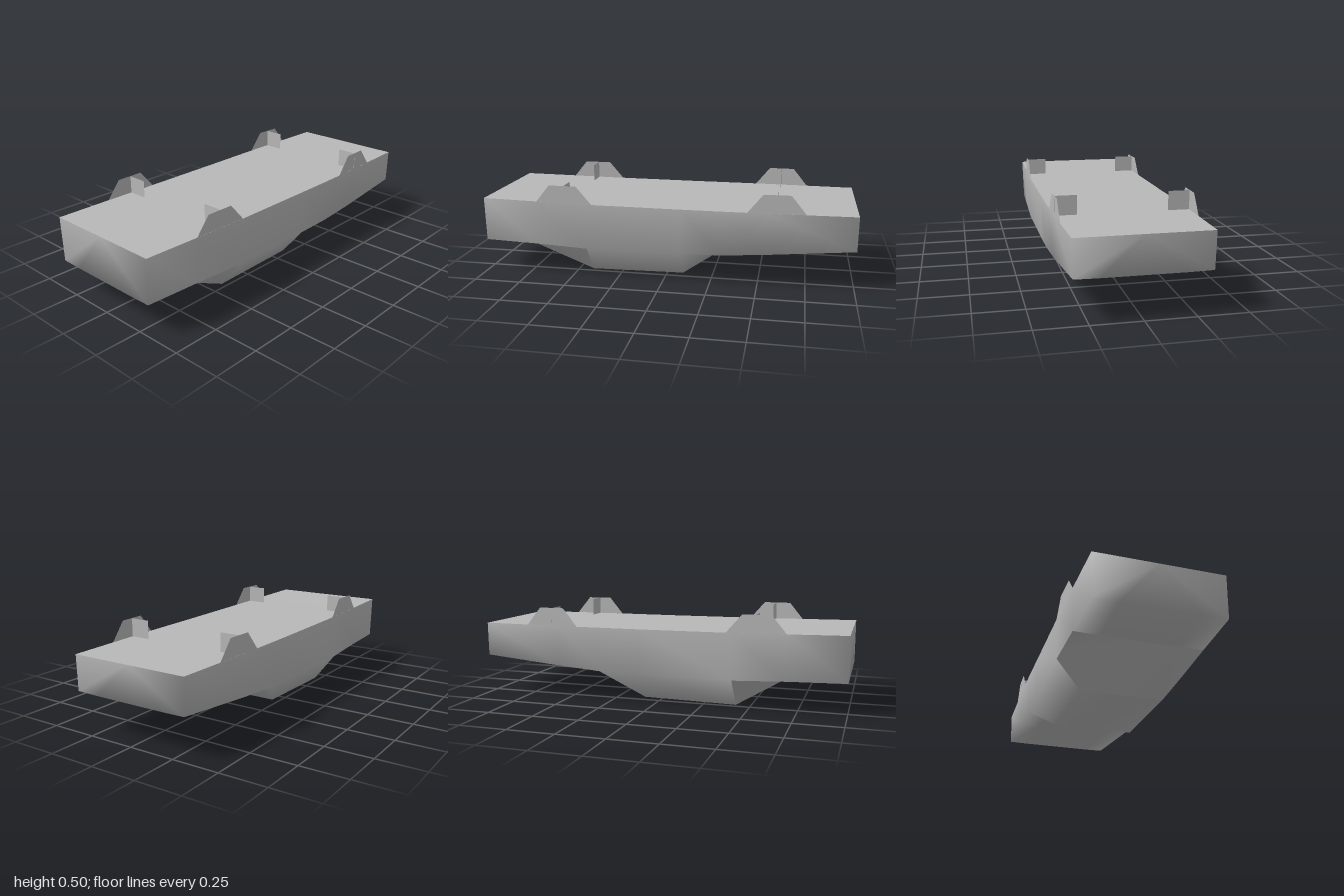
import * as THREE from 'three';

// Hull stations: z, deck half width, deck y, chine half width, chine y, floor half width, floor y
const STATIONS = [
  [1.0, 0.33, 0.41, 0.323, 0.172, 0.2, 0.17],
  [0.7, 0.336, 0.406, 0.333, 0.166, 0.2, 0.165],
  [0.42, 0.341, 0.402, 0.342, 0.156, 0.22, 0.0],
  [-0.09, 0.341, 0.4, 0.342, 0.158, 0.22, 0.008],
  [-0.31, 0.341, 0.4, 0.341, 0.162, 0.22, 0.16],
  [-0.55, 0.339, 0.4, 0.339, 0.18, 0.22, 0.178],
  [-1.0, 0.326, 0.4, 0.322, 0.216, 0.2, 0.214],
];
const RING = 7; // points round each open section
const LAST = STATIONS.length - 1;

function makeGeometry(points, index) {
  const g = new THREE.BufferGeometry();
  g.setAttribute('position', new THREE.Float32BufferAttribute(points.flat(), 3));
  g.setIndex(index);
  g.computeVertexNormals();
  return g;
}

export function createModel() {
  const model = new THREE.Group();
  const grey = new THREE.MeshStandardMaterial({ color: 0xb8b8b8, side: THREE.DoubleSide });
  grey.name = 'plain grey';

  const add = (name, geometry) => {
    const mesh = new THREE.Mesh(geometry, grey);
    mesh.name = name;
    model.add(mesh);
  };

  // Sections run from the left deck edge under the floor to the right deck edge
  const points = STATIONS.flatMap(([z, w, y, cw, cy, fw, fy]) => [
    [w, y, z], [cw, cy, z], [fw, fy, z], [0, fy, z],
    [-fw, fy, z], [-cw, cy, z], [-w, y, z],
  ]);
  const shell = [], slope = [], deck = [];
  for (let i = 0; i < LAST; i++) {
    for (let j = 0; j < RING - 1; j++) {
      const a = i * RING + j, d = a + RING;
      // the sloped front of the belly is kept apart for a hard edge
      const target = i === 1 && j > 0 && j < RING - 2 ? slope : shell;
      target.push(a, a + 1, d + 1, a, d + 1, d);
    }
    const l = i * RING, r = l + RING - 1;
    deck.push(l, l + RING, r + RING, l, r + RING, r);
  }

  // End caps fan out from the middle of the deck edge and share smooth normals
  const frontMid = points.length, backMid = frontMid + 1, back = LAST * RING;
  points.push([0, STATIONS[0][2], 1], [0, STATIONS[LAST][2], -1]);
  for (let j = 0; j < RING - 1; j++) {
    shell.push(frontMid, j + 1, j, backMid, back + j, back + j + 1);
  }
  add('hull', makeGeometry(points, shell));
  add('bellyFrontSlope', makeGeometry(points, slope).toNonIndexed());
  add('deck', makeGeometry(points, deck));

  // Four side lugs, each a thin trapezoid with a cross web at its middle
  const lugs = [
    { name: 'front', z: [0.7, 0.62, 0.47, 0.385], x: [0.335, 0.341], web: 0.54 },
    { name: 'rear', z: [-0.44, -0.52, -0.66, -0.74], x: [0.341, 0.333], web: -0.59 },
  ];
  for (const { name, z, x, web } of lugs) {
    for (const s of [1, -1]) {
      const side = s > 0 ? 'Left' : 'Right';
      const plate = z.map((pz, k) => [
        s * THREE.MathUtils.lerp(x[0], x[1], (pz - z[0]) / (z[3] - z[0])),
        k === 0 || k === 3 ? 0.4 : 0.498, pz,
      ]);
      const order = s > 0 ? [0, 3, 2, 0, 2, 1] : [0, 2, 3, 0, 1, 2];
      add(name + side + 'Lug', makeGeometry(plate, order));

      const panel = new THREE.PlaneGeometry(0.11, 0.097);
      panel.translate(s * 0.283, 0.4485, web);
      add(name + side + 'LugWeb', panel);
    }
  }
  return model;
}
